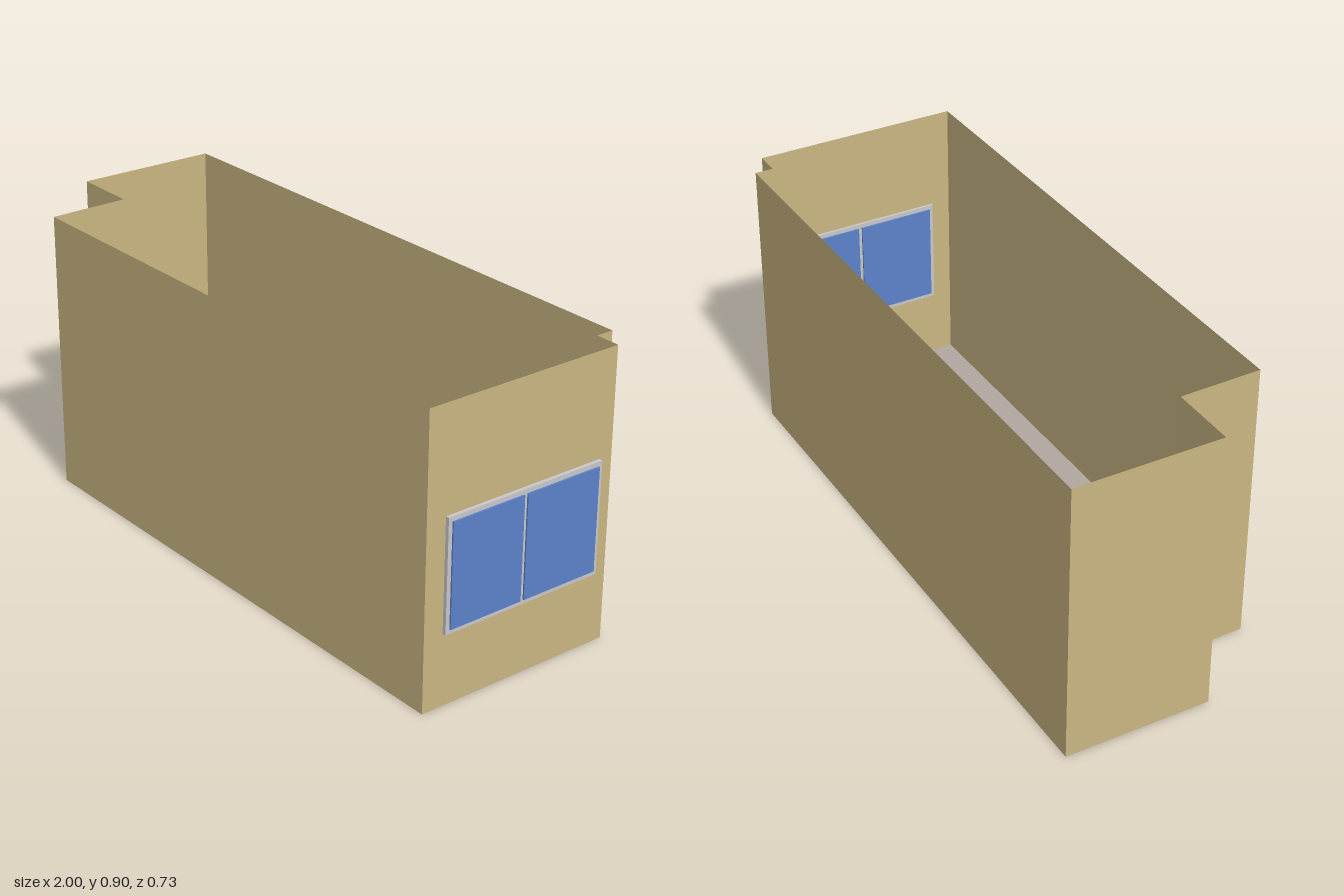
import * as THREE from 'three';

const material = (name, color, side = THREE.FrontSide) => {
  const m = new THREE.MeshStandardMaterial({ color, side });
  m.name = name;
  return m;
};

export function createModel() {
  const room = new THREE.Group();
  room.name = 'room';
  const wallPaint = material('sand wall', 0xcab783, THREE.DoubleSide);
  const floorPaint = material('warm grey floor', 0xb1a9a0, THREE.DoubleSide);
  const framePaint = material('light grey frame', 0xc9c9cb);
  const glassPaint = material('blue glass', 0x5c83cb);

  const add = (parent, name, geometry, mat) => {
    const mesh = new THREE.Mesh(geometry, mat);
    mesh.name = name;
    parent.add(mesh);
    return mesh;
  };

  // Floor plan as x, z corners
  const plan = [
    [-1, -0.355], [0.9, -0.367], [0.9, -0.31], [0.98, -0.31],
    [0.985, 0.35], [-0.78, 0.365], [-0.785, 0.107], [-1, 0.107],
  ];
  const height = 0.9;

  // Floor
  const outline = new THREE.Shape(plan.map(([x, z]) => new THREE.Vector2(x, -z)));
  add(room, 'floor', new THREE.ShapeGeometry(outline).rotateX(-Math.PI / 2), floorPaint);

  // One thin wall along each edge of the plan, open at the top
  plan.forEach(([x, z], i) => {
    const [x2, z2] = plan[(i + 1) % plan.length];
    const wall = add(room, 'wall' + (i + 1),
      new THREE.PlaneGeometry(Math.hypot(x2 - x, z2 - z), height), wallPaint);
    wall.position.set((x + x2) / 2, height / 2, (z + z2) / 2);
    // Planes face outward
    wall.rotation.y = Math.atan2(z2 - z, -(x2 - x));
  });

  // Window set through the end wall
  const win = new THREE.Group();
  win.name = 'window';
  win.position.set(0.984, 0.4, 0.01);
  win.rotation.y = 0.0076;
  room.add(win);
  add(win, 'windowFrame', new THREE.BoxGeometry(0.02, 0.35, 0.55), framePaint);
  // Panes stand slightly proud on both faces
  for (const [name, z, width] of [['leftPane', 0.137, 0.25], ['rightPane', -0.131, 0.262]]) {
    add(win, name, new THREE.BoxGeometry(0.03, 0.322, width), glassPaint).position.z = z;
  }

  return room;
}
